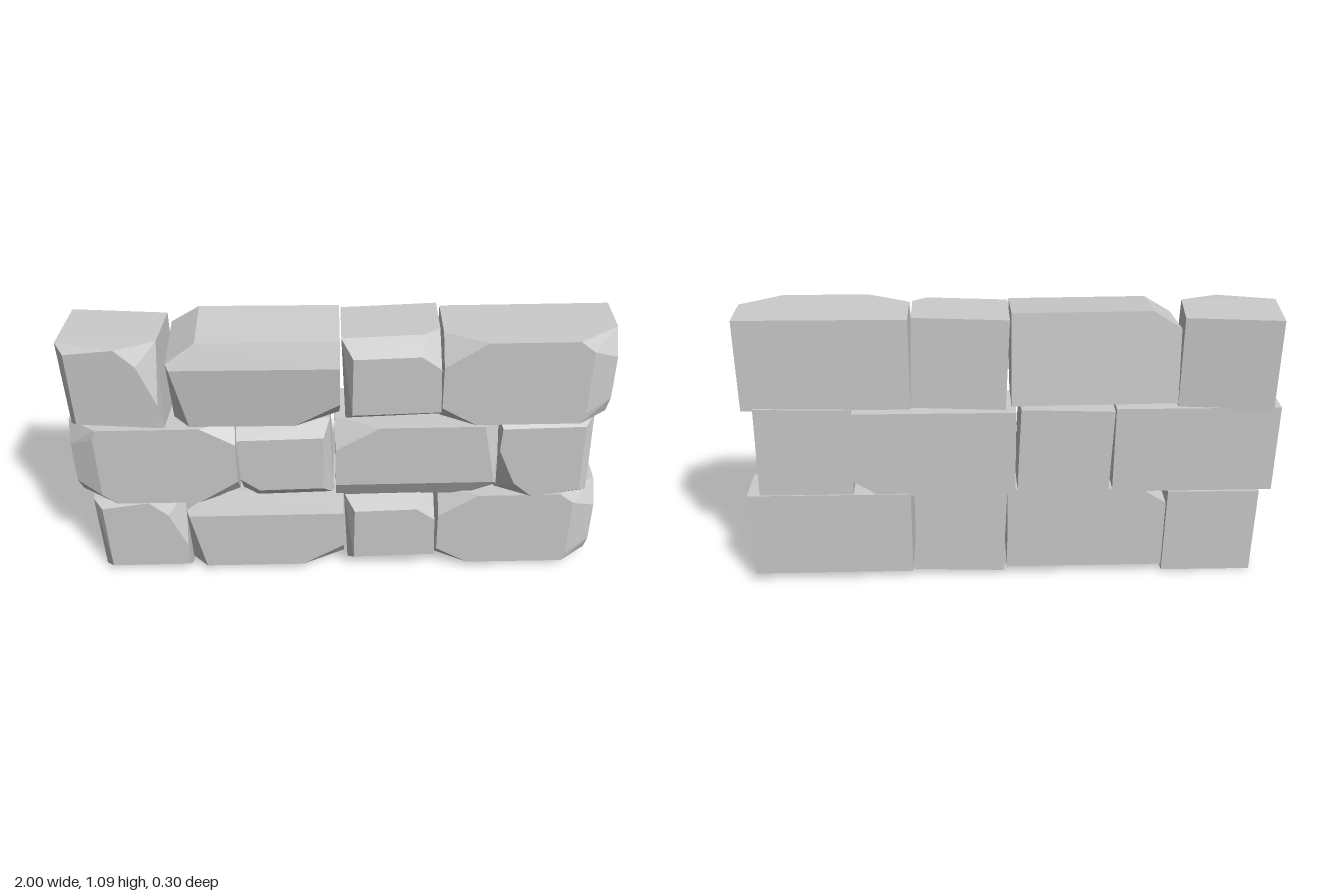
import * as THREE from 'three';
import { ConvexGeometry } from 'three/addons/geometries/ConvexGeometry.js';

const BACK = -0.135, FRONT = 0.13;

// A cut stone: flat back outline [x, y], chamfered front points [x, y, z = FRONT]
function stone(outline, front) {
  const points = outline.map(([x, y]) => new THREE.Vector3(x, y, BACK));
  for (const [x, y, z = FRONT] of front) points.push(new THREE.Vector3(x, y, z));
  return new ConvexGeometry(points);
}

const rect = (w, h) => [[-w, -h], [w, -h], [w, h], [-w, h]];

// Four stone shapes, each centred on its own outline
const shapes = {
  // Small block, bevelled left and below, broken upper right corner
  endStone: stone(rect(0.176, 0.178), [
    [-0.176, 0.178, 0.095], [-0.176, -0.178, 0.08], [0.176, -0.178, 0.09], [0.176, 0.178, 0.06],
    [-0.142, 0.15], [-0.14, -0.148], [0.165, -0.148], [0.04, 0.176], [0.11, 0.11], [0.172, -0.05],
  ]),
  // Long block with a sloping top and one corner missing right through
  slopedStone: stone([[-0.305, -0.174], [0.305, -0.174], [0.305, 0.174], [-0.2, 0.174], [-0.305, 0.107]], [
    [-0.2, 0.174, 0.085], [0.305, 0.174, 0.085], [-0.305, 0.107, 0.115], [-0.305, -0.174, 0.07],
    [0.305, -0.174, 0.05], [-0.295, 0.088], [0.305, 0.09], [-0.245, -0.174], [0.14, -0.174], [0.305, -0.075],
  ]),
  // Small block bevelled on top, left and bottom
  squareStone: stone(rect(0.174, 0.174), [
    [-0.174, 0.174, 0.08], [0.12, 0.174, 0.08], [0.174, 0.174, 0.04], [-0.174, -0.174, 0.07],
    [0.174, -0.174, 0.07], [-0.135, 0.114], [0.106, 0.112], [0.174, 0.055], [-0.148, -0.124], [0.174, -0.127],
  ]),
  // Long block with all four front corners knocked off
  longStone: stone(rect(0.307, 0.174), [
    [-0.307, 0.174, 0.05], [-0.307, 0.075], [-0.155, 0.174],
    [-0.307, -0.174, 0.06], [-0.307, -0.097], [-0.18, -0.174],
    [0.307, 0.174, 0.03], [0.307, 0.085, 0.09], [0.214, 0.13], [0.16, 0.174],
    [0.307, -0.174, 0.05], [0.307, -0.09, 0.09], [0.214, -0.13], [0.2, -0.174],
  ]),
};

// Courses of stones: [shape, x, y, z, turn, lean, yaw]
const courses = {
  bottomCourse: [
    ['endStone', -0.773, 0.184, -0.005, 0.015],
    ['slopedStone', -0.289, 0.209, 0, 0.01],
    ['squareStone', 0.198, 0.203, 0, 0.045],
    ['longStone', 0.691, 0.209, -0.005, 0.01],
  ],
  middleCourse: [
    ['longStone', -0.693, 0.54, 0, Math.PI + 0.01],
    ['squareStone', -0.203, 0.54, 0, Math.PI + 0.04],
    ['slopedStone', 0.289, 0.54, 0, Math.PI + 0.01],
    ['endStone', 0.768, 0.56, 0, Math.PI + 0.03],
  ],
  topCourse: [
    ['endStone', -0.808, 0.882, 0, 0.01, 0, -0.1],
    ['slopedStone', -0.305, 0.903, 0.003, 0, 0.1],
    ['squareStone', 0.187, 0.904, 0.003, 0.045],
    ['longStone', 0.674, 0.906, 0.008, 0.01],
  ],
};

export function createModel() {
  const wall = new THREE.Group();
  wall.name = 'stoneWall';
  const material = new THREE.MeshStandardMaterial({ color: 0xcccccc, flatShading: true });
  for (const [name, stones] of Object.entries(courses)) {
    const course = new THREE.Group();
    course.name = name;
    for (const [shape, x, y, z, turn, lean = 0, yaw = 0] of stones) {
      const mesh = new THREE.Mesh(shapes[shape], material);
      mesh.name = shape;
      mesh.position.set(x, y, z);
      mesh.rotation.set(lean, yaw, turn);
      course.add(mesh);
    }
    wall.add(course);
  }
  return wall;
}
